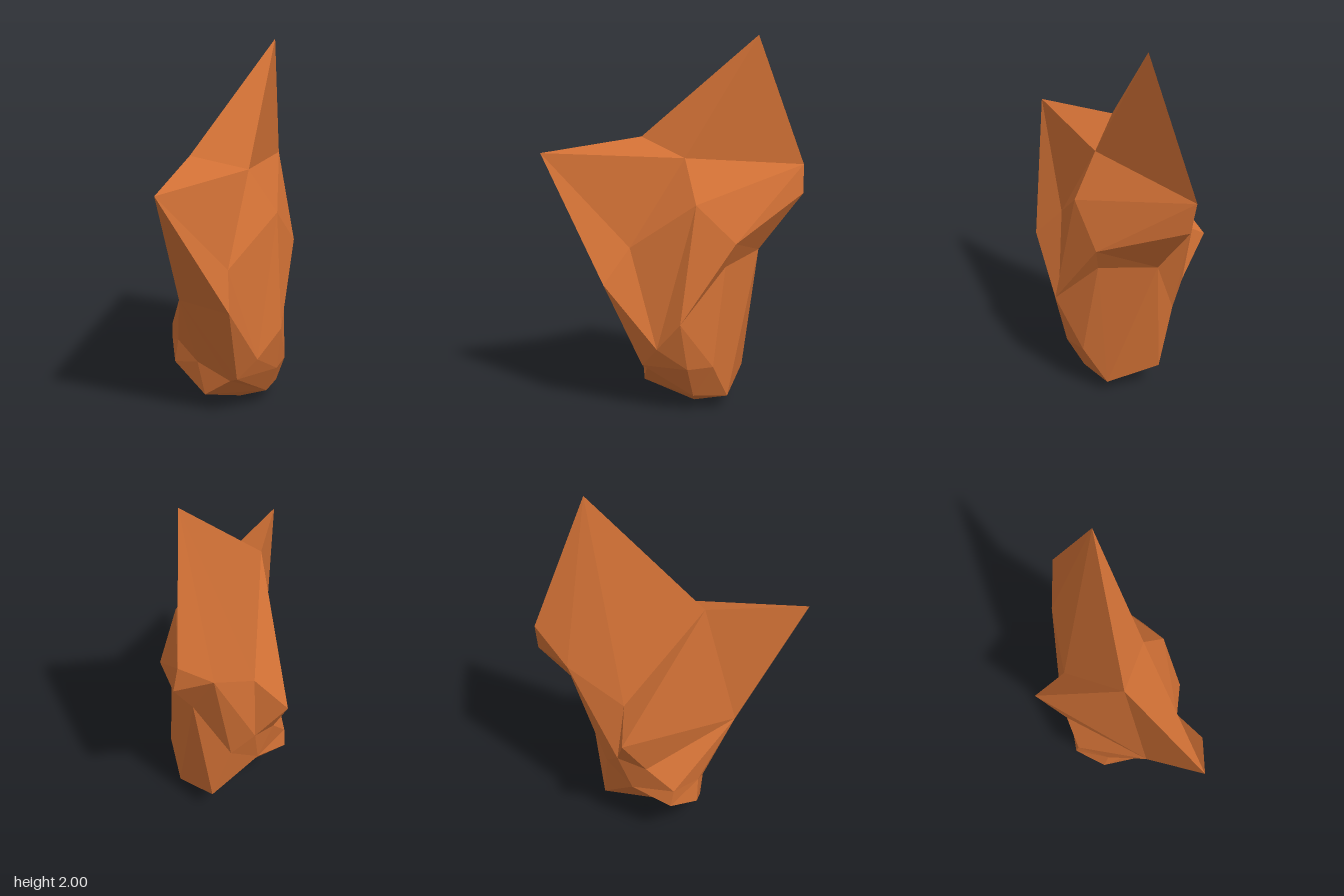
import * as THREE from 'three';

// Corners of the rock, from the peak down to the foot
const corners = {
  // crown: peak, front spur, ridge and back corner
  A: [0.27, 2, -0.33], B: [-0.37, 1.39, 0.625], C: [-0.2, 1.455, 0.09],
  D: [0.11, 1.365, 0.035], E: [0.325, 1.3, -0.625], F: [0.347, 1.145, -0.605],
  // waist
  G: [0.37, 0.93, -0.1], H: [0.26, 1.14, 0.08], I: [-0.01, 0.9, 0.31],
  J: [-0.01, 0.725, 0.48], K: [0.15, 0.37, 0.255], L: [0.28, 0.525, 0.2],
  M: [0.31, 0.8, -0.08], N: [0.23, 0.84, -0.385], O: [0.14, 1.12, -0.54],
  V: [-0.1, 0.94, -0.34], Y: [-0.26, 0.82, -0.445], Z: [-0.265, 0.72, 0.26],
  // foot
  P: [0.13, 0.16, -0.36], Q: [0.075, 0, -0.06], R: [0.285, 0.07, -0.12],
  S: [0.215, 0.09, 0.06], T: [-0.13, 0.105, 0.13], U: [0.04, 0.26, 0.27],
  W: [-0.295, 0.25, 0],
  a: [0.005, 0.225, 0.215], b: [-0.17, 0.3, 0.12], c: [-0.31, 0.31, -0.18],
  d: [-0.31, 0.41, -0.16], e: [-0.275, 0.39, 0.02], f: [0.03, 0.49, -0.39],
  g: [-0.1, 0.6, -0.39], h: [-0.22, 0.56, -0.28], i: [-0.13, 0.38, -0.32],
  j: [0.32, 0.27, 0.01], k: [0.265, 0.265, 0.14],
};

// Each fan is a hub corner followed by the rim corners facets spread to
const parts = {
  crown: ['DACBIHEA', 'OAEFNfgVA', 'CAVYZB', 'EHGF'],
  waist: ['GHLMNF', 'KLHIJUkL', 'JIBZU', 'ZYhdebaU', 'ghYV'],
  foot: ['jMLkSRM', 'RSQPNM', 'SkUaTQ', 'WcTbec', 'TcQ', 'Tab', 'iQcdhgfPQ', 'fNP', 'edc'],
};

function facets(fans) {
  const positions = [];
  for (const [hub, ...rim] of fans) {
    for (let n = 0; n < rim.length - 1; n++) {
      positions.push(...corners[hub], ...corners[rim[n]], ...corners[rim[n + 1]]);
    }
  }
  const geometry = new THREE.BufferGeometry();
  geometry.setAttribute('position', new THREE.Float32BufferAttribute(positions, 3));
  geometry.computeVertexNormals(); // unshared corners give flat facets
  return geometry;
}

export function createModel() {
  const rock = new THREE.Group();
  rock.name = 'rock';
  const stone = new THREE.MeshStandardMaterial({ color: 0xd07035, flatShading: true });
  stone.name = 'orange stone';
  for (const [name, fans] of Object.entries(parts)) {
    const mesh = new THREE.Mesh(facets(fans), stone);
    mesh.name = name;
    rock.add(mesh);
  }
  return rock;
}
